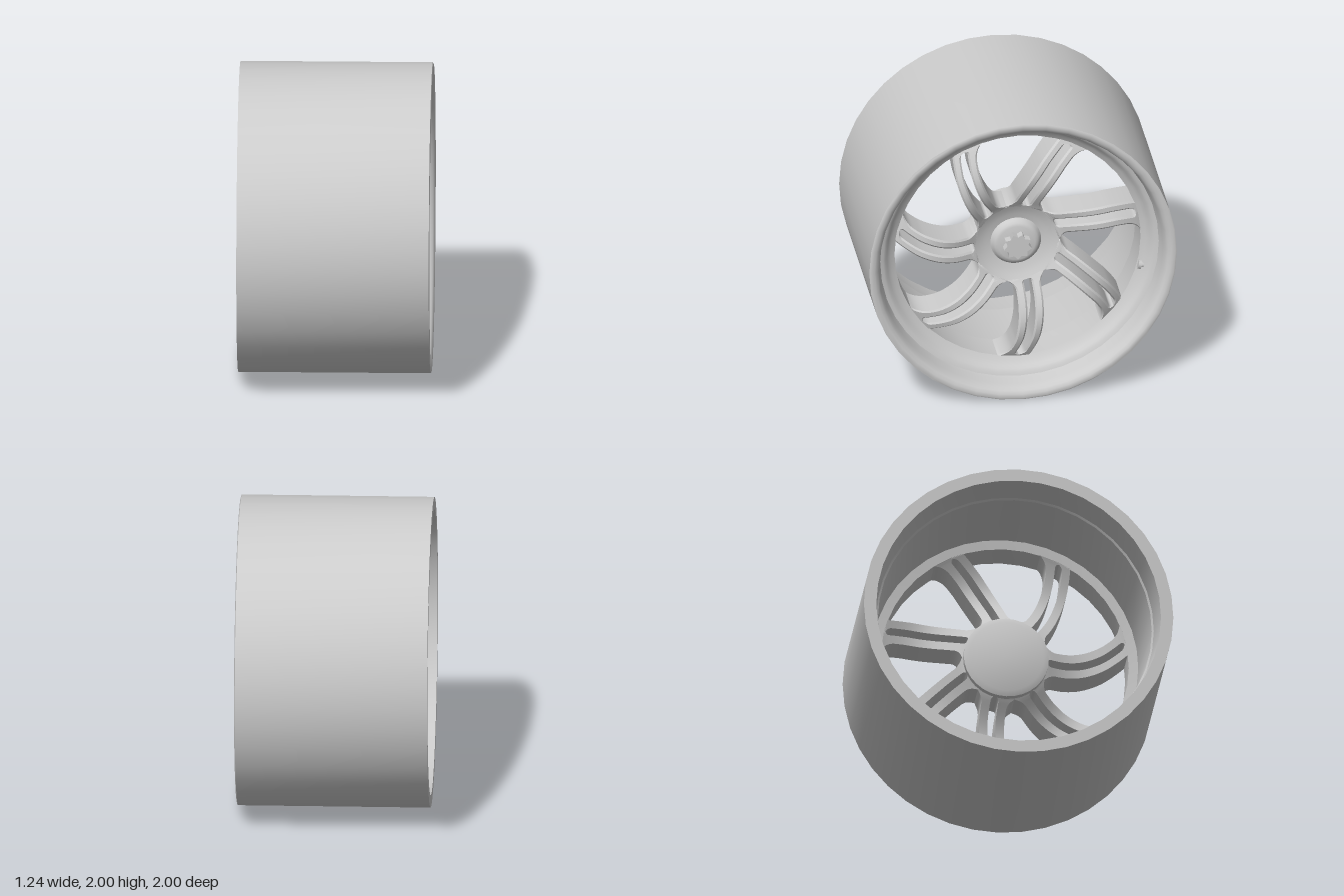
import * as THREE from 'three';
import { toCreasedNormals } from 'three/addons/utils/BufferGeometryUtils.js';

const SPOKES = 7;
const STEP = Math.PI * 2 / SPOKES;
const FIRST = THREE.MathUtils.degToRad(65); // where the first spoke pair meets the rim
const material = new THREE.MeshStandardMaterial({ color: 0xcccccc, side: THREE.DoubleSide });

// Front of the spokes: x at radius r, arching forward between hub and rim
function frontX(r) {
  const t = (r - 0.27) / 0.53;
  return 0.35 + 0.04 * t + 0.1 * Math.sin(Math.PI * t);
}

// Rises from 0 to 1 like a quarter circle as t goes from 0 to 1
const round = t => {
  const k = 1 - THREE.MathUtils.clamp(t, 0, 1);
  return Math.sqrt(1 - k * k);
};

// Sweep of a spoke's centre line: angle offset at radius r
function sweep(r) {
  const table = [[0.25, 13.5], [0.3, 13], [0.4, 11], [0.5, 8.5], [0.65, 4.5], [0.82, -1.2]];
  const i = Math.max(1, table.findIndex(e => r <= e[0]));
  const [r0, a0] = table[i - 1], [r1, a1] = table[i];
  return THREE.MathUtils.degToRad(a0 + (a1 - a0) * (r - r0) / (r1 - r0));
}

// Half width of the slot inside a spoke pair, round at both ends
const slotWidth = r => 0.026 * round((r - 0.272) / 0.026) * round((0.79 - r) / 0.026);

// Half width of a whole pair; neighbours join in a round fillet at the hub
function pairWidth(r, side) {
  const w = THREE.MathUtils.lerp(r * STEP / 2, 0.083, round((r - 0.285) / 0.05));
  const fillet = side < 0 ? 0.07 * (1 - round((0.803 - r) / 0.09)) : 0;
  return w + fillet;
}

// One bar of a pair, lofted outwards from the hub with chamfered front edges
function barGeometry(base, side) {
  const rows = 44, depth = 0.22, chamfer = 0.012, pos = [], index = [];
  for (let i = 0; i <= rows; i++) {
    const r = 0.27 + 0.533 * (1 - Math.cos(Math.PI * i / rows)) / 2;
    const inner = slotWidth(r), outer = pairWidth(r, side);
    const cIn = Math.min(chamfer, inner / 2);
    const [lo, hi, cLo, cHi] = side > 0
      ? [inner, outer, cIn, chamfer] : [-outer, -inner, chamfer, cIn];
    const x = frontX(r);
    const section = [[lo, x - depth], [lo, x - cLo], [lo + cLo, x],
      [hi - cHi, x], [hi, x - cHi], [hi, x - depth]];
    for (const [w, px] of section) {
      const a = base + sweep(r) + w / r;
      pos.push(px, r * Math.sin(a), -r * Math.cos(a));
    }
  }
  for (let i = 0; i < rows; i++) {
    for (let j = 0; j < 6; j++) {
      const a = i * 6 + j, b = i * 6 + (j + 1) % 6;
      index.push(a, a + 6, b, b, a + 6, b + 6);
    }
  }
  const geo = new THREE.BufferGeometry();
  geo.setAttribute('position', new THREE.Float32BufferAttribute(pos, 3));
  geo.setIndex(index);
  return toCreasedNormals(geo, 0.6);
}

// Turned part about the axle; the profile is [radius, x]
function turned(profile, sides) {
  const geo = new THREE.LatheGeometry(profile.map(([r, x]) => new THREE.Vector2(r, x)), sides);
  geo.rotateZ(-Math.PI / 2);
  return toCreasedNormals(geo, 0.65);
}

function starGeometry() {
  const shape = new THREE.Shape(), points = 9;
  for (let i = 0; i < points * 2; i++) {
    const r = i % 2 ? 0.07 : 0.092, a = -Math.PI / 2 + i * Math.PI / points;
    if (i) shape.lineTo(r * Math.cos(a), r * Math.sin(a));
    else shape.moveTo(r * Math.cos(a), r * Math.sin(a));
  }
  const geo = new THREE.ExtrudeGeometry(shape, { depth: 0.07, bevelEnabled: false });
  geo.translate(0, 0, 0.34);
  geo.rotateY(Math.PI / 2);
  return geo;
}

export function createModel() {
  const model = new THREE.Group();
  model.name = 'wheel';
  const wheel = new THREE.Group();
  wheel.name = 'wheelAssembly';
  wheel.position.y = 1;
  model.add(wheel);
  const add = (name, geo, parent = wheel) => {
    const mesh = new THREE.Mesh(geo, material);
    mesh.name = name;
    parent.add(mesh);
    return mesh;
  };

  // Barrel: wide outer band, broad rounded front lip, stepped seat, tapered inside
  add('barrel', turned([
    [0.86, 0.16], [0.885, -0.4], [0.897, -0.41], [0.92, -0.622], [1, -0.622],
    [1, 0.614], [0.99, 0.619], [0.965, 0.615], [0.945, 0.603], [0.932, 0.58],
    [0.922, 0.54], [0.912, 0.49], [0.906, 0.466], [0.885, 0.458], [0.868, 0.446],
    [0.855, 0.425], [0.83, 0.402], [0.8, 0.385], [0.8, 0.17], [0.86, 0.16],
  ], 40));

  // Split spokes, swept to one side
  for (let i = 0; i < SPOKES; i++) {
    const pair = new THREE.Group();
    pair.name = 'spokePair';
    wheel.add(pair);
    for (const side of [-1, 1]) add('spokeBar', barGeometry(FIRST + i * STEP, side), pair);
  }

  // Hub: funnel-shaped front with a low centre cap
  add('hub', turned([
    [0, 0.08], [0.24, 0.08], [0.275, 0.095], [0.275, frontX(0.275)], [0.24, 0.336],
    [0.2, 0.322], [0.165, 0.314], [0.152, 0.332], [0.14, 0.348],
    [0.12, 0.354], [0, 0.356],
  ], 32));
  add('centreNut', starGeometry());

  // Valve stem beside the rim's inner edge
  const valve = new THREE.Group();
  valve.name = 'valve';
  valve.position.set(0.4, -0.2, -0.81);
  valve.rotation.x = -Math.PI / 2 - 0.24;
  wheel.add(valve);
  add('valveStem', new THREE.CylinderGeometry(0.016, 0.02, 0.06, 10), valve);
  const base = add('valveBase', new THREE.CylinderGeometry(0.03, 0.03, 0.02, 10), valve);
  base.position.y = -0.02;

  return model;
}
